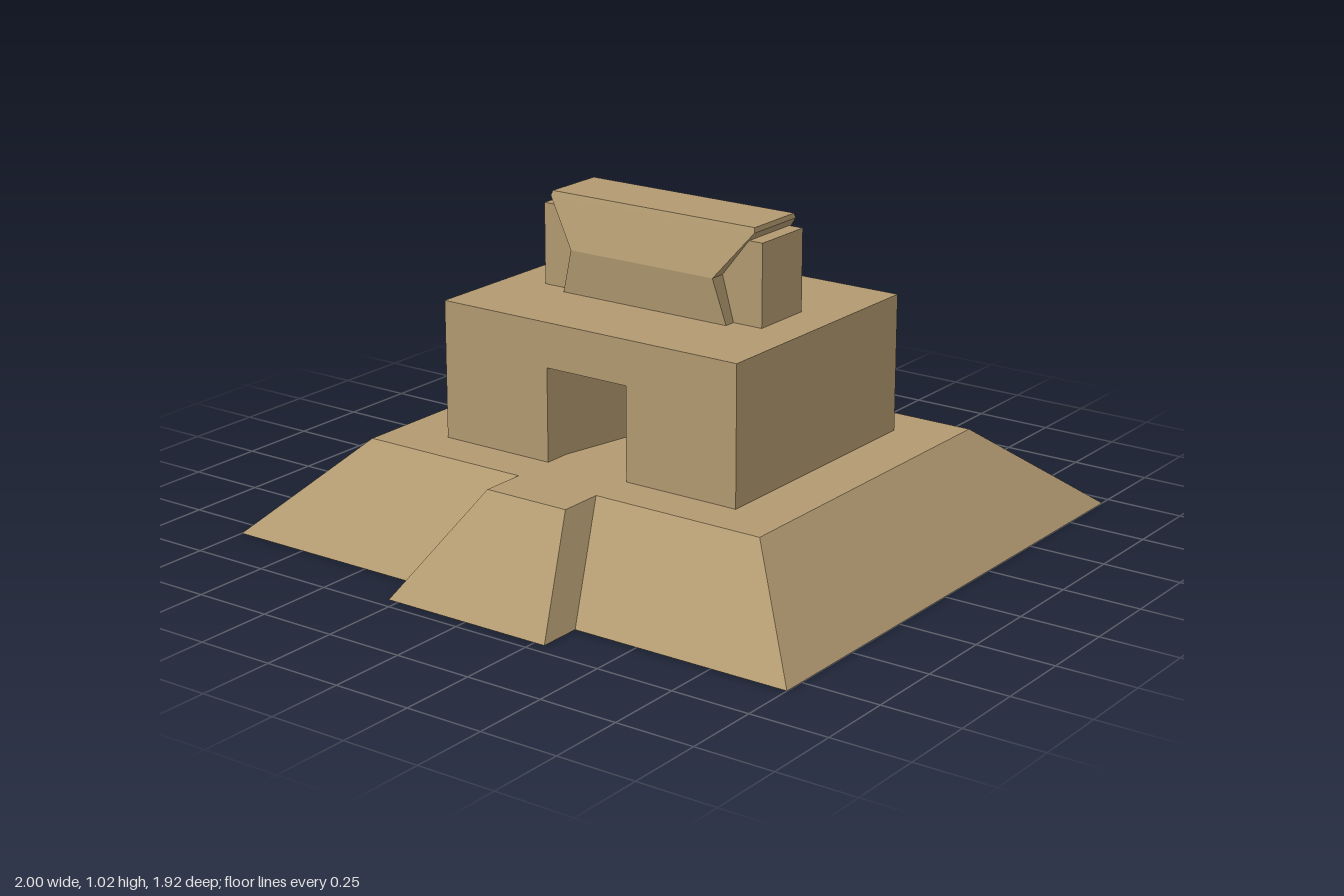
import * as THREE from 'three';

// Four-cornered ring at height y, counter-clockwise from above
const rect = (y, hx, z0, z1) => [[-hx, y, z1], [hx, y, z1], [hx, y, z0], [-hx, y, z0]];

// Flat-faced skin through four-cornered rings; capStart / capEnd close the ends
function loft(rings, capStart = true, capEnd = true) {
  const pos = [];
  const quad = (a, b, c, d) => pos.push(...a, ...b, ...c, ...a, ...c, ...d);
  for (let r = 0; r < rings.length - 1; r++) {
    for (let i = 0; i < 4; i++) {
      const j = (i + 1) % 4;
      quad(rings[r][i], rings[r][j], rings[r + 1][j], rings[r + 1][i]);
    }
  }
  if (capStart) quad(...[...rings[0]].reverse());
  if (capEnd) quad(...rings[rings.length - 1]);
  const g = new THREE.BufferGeometry();
  g.setAttribute('position', new THREE.Float32BufferAttribute(pos, 3));
  g.computeVertexNormals();
  return g;
}

export function createModel() {
  const group = new THREE.Group();
  const stone = new THREE.MeshStandardMaterial({ color: 0xb29a70 });
  stone.name = 'sandstone';
  const add = (name, geometry) => {
    const mesh = new THREE.Mesh(geometry, stone);
    mesh.name = name;
    group.add(mesh);
    return mesh;
  };

  const baseTop = 0.285, wallTop = 0.72;

  // Sloped platform and the front ramp
  add('platform', loft([rect(0, 1, -0.96, 0.82), rect(baseTop, 0.713, -0.61, 0.533)]));
  add('frontRamp', loft([rect(0, 0.285, 0.82, 0.96), rect(baseTop, 0.143, 0.533, 0.677)]));

  // Sanctuary: front half with a doorway notch, solid rear half
  const w = 0.533, door = 0.145, doorTop = 0.58;
  const front = 0.39, split = -0.02, back = -0.465;
  const outline = new THREE.Shape([
    [-w, baseTop], [-door, baseTop], [-door, doorTop], [door, doorTop],
    [door, baseTop], [w, baseTop], [w, wallTop], [-w, wallTop],
  ].map(([x, y]) => new THREE.Vector2(x, y)));
  const frontHall = new THREE.ExtrudeGeometry(outline, { depth: front - split, bevelEnabled: false });
  frontHall.translate(0, 0, split);
  add('sanctuaryFront', frontHall);
  const rear = new THREE.BoxGeometry(2 * w, wallTop - baseTop, split - back);
  rear.translate(0, (wallTop + baseTop) / 2, (split + back) / 2);
  add('sanctuaryRear', rear);

  // Doorway passage narrowing inward, seen from inside
  const doorRing = (z, hx, top) => [[-hx, baseTop, z], [hx, baseTop, z], [hx, top, z], [-hx, top, z]];
  add('doorPassage', loft([doorRing(0.3, door, doorTop), doorRing(0, 0.078, 0.445)], false, true));

  // Roof crest: core block with a flared crown around it
  const core = new THREE.BoxGeometry(0.8, 0.257, 0.21);
  core.translate(0, wallTop + 0.1285, -0.035);
  add('crestCore', core);
  add('crestCrown', loft([
    rect(wallTop, 0.3, -0.176, 0.108),
    rect(0.86, 0.26, -0.192, 0.122),
    rect(1.003, 0.373, -0.143, 0.073),
    rect(1.018, 0.37, -0.138, 0.067),
  ]));

  return group;
}
